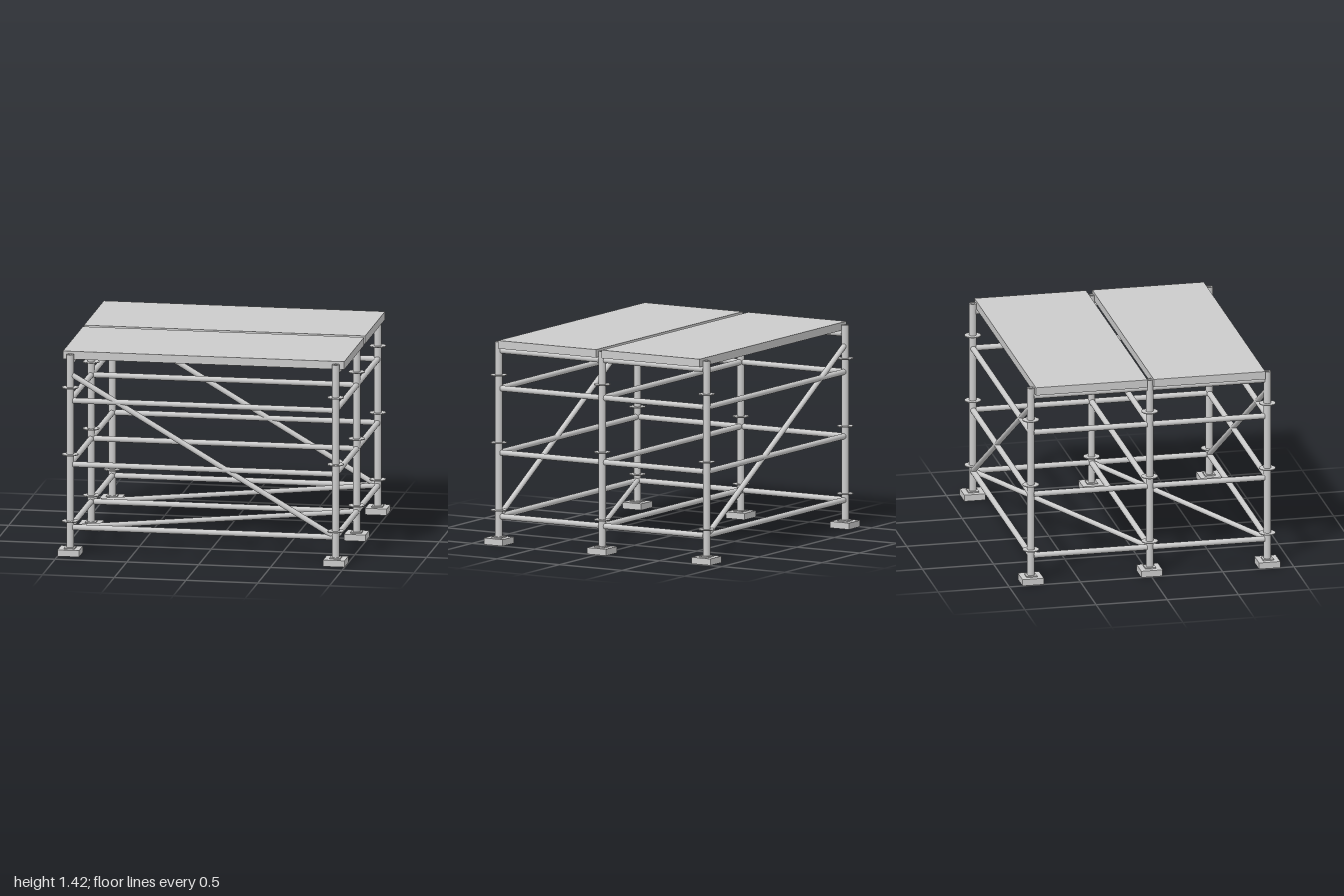
import * as THREE from 'three';

const mat = new THREE.MeshStandardMaterial({ color: 0xcccccc });
const POST_X = 0.925;
const ROWS = [0.83, 0.003, -0.832];
const LEVELS = [0.192, 0.635, 1.082];
const ROSETTES = [0.235, 0.704, 1.174];

export function createModel() {
  const group = new THREE.Group();

  function add(name, geometry, x = 0, y = 0, z = 0) {
    const mesh = new THREE.Mesh(geometry, mat);
    mesh.name = name;
    mesh.position.set(x, y, z);
    group.add(mesh);
    return mesh;
  }

  // Straight round bar between two points
  function bar(name, a, b, radius) {
    const from = new THREE.Vector3(...a);
    const dir = new THREE.Vector3(...b).sub(from);
    const mesh = add(name, new THREE.CylinderGeometry(radius, radius, dir.length(), 20));
    mesh.position.copy(from).addScaledVector(dir, 0.5);
    mesh.quaternion.setFromUnitVectors(new THREE.Vector3(0, 1, 0), dir.normalize());
  }

  // Hollow-topped upright; doubled points keep the rim edges sharp
  const postProfile = [
    [0.025, 0.045], [0.025, 1.406], [0.025, 1.406], [0.014, 1.406], [0.014, 1.406], [0.014, 1.3], [0, 1.3],
  ].map(([r, y]) => new THREE.Vector2(r, y));
  const postGeometry = new THREE.LatheGeometry(postProfile, 24);
  const discGeometry = new THREE.CylinderGeometry(0.057, 0.057, 0.006, 28);
  const footGeometry = new THREE.BoxGeometry(0.15, 0.045, 0.15);
  const plateGeometry = new THREE.BoxGeometry(0.075, 0.008, 0.075);

  // Uprights with feet and connector discs
  for (const side of [-1, 1]) {
    for (const z of ROWS) {
      const x = side * POST_X;
      add('foot', footGeometry, x, 0.0225, z);
      add('basePlate', plateGeometry, x, 0.049, z);
      add('post', postGeometry, x, 0, z);
      for (const y of ROSETTES) add('connectorDisc', discGeometry, x, y, z);
    }
  }

  // Long ledgers in every row
  for (const z of ROWS) {
    for (const y of LEVELS) bar('ledger', [-0.905, y, z], [0.905, y, z], 0.02);
  }

  // Cross bars along both sides, plus the ones carrying the deck
  for (const side of [-1, 1]) {
    for (let i = 0; i < 2; i++) {
      for (const y of [...LEVELS, 1.345]) {
        bar('crossBar', [side * POST_X, y, ROWS[i] - 0.02], [side * POST_X, y, ROWS[i + 1] + 0.02], 0.02);
      }
    }
  }

  // Sloping braces on the front and back
  for (const z of [ROWS[0], ROWS[2]]) {
    bar('diagonalBrace', [-0.91, 1.262, z], [0.9, 0.205, z], 0.019);
  }

  // Flat braces across each bay at the lowest level
  for (let i = 0; i < 2; i++) {
    bar('planBrace', [-0.905, LEVELS[0], ROWS[i] - 0.01], [0.905, LEVELS[0], ROWS[i + 1] + 0.01], 0.018);
  }

  // Two deck panels
  for (const z of [0.412, -0.416]) {
    add('deckPanel', new THREE.BoxGeometry(1.96, 0.056, 0.784), 0, 1.394, z);
  }

  return group;
}
